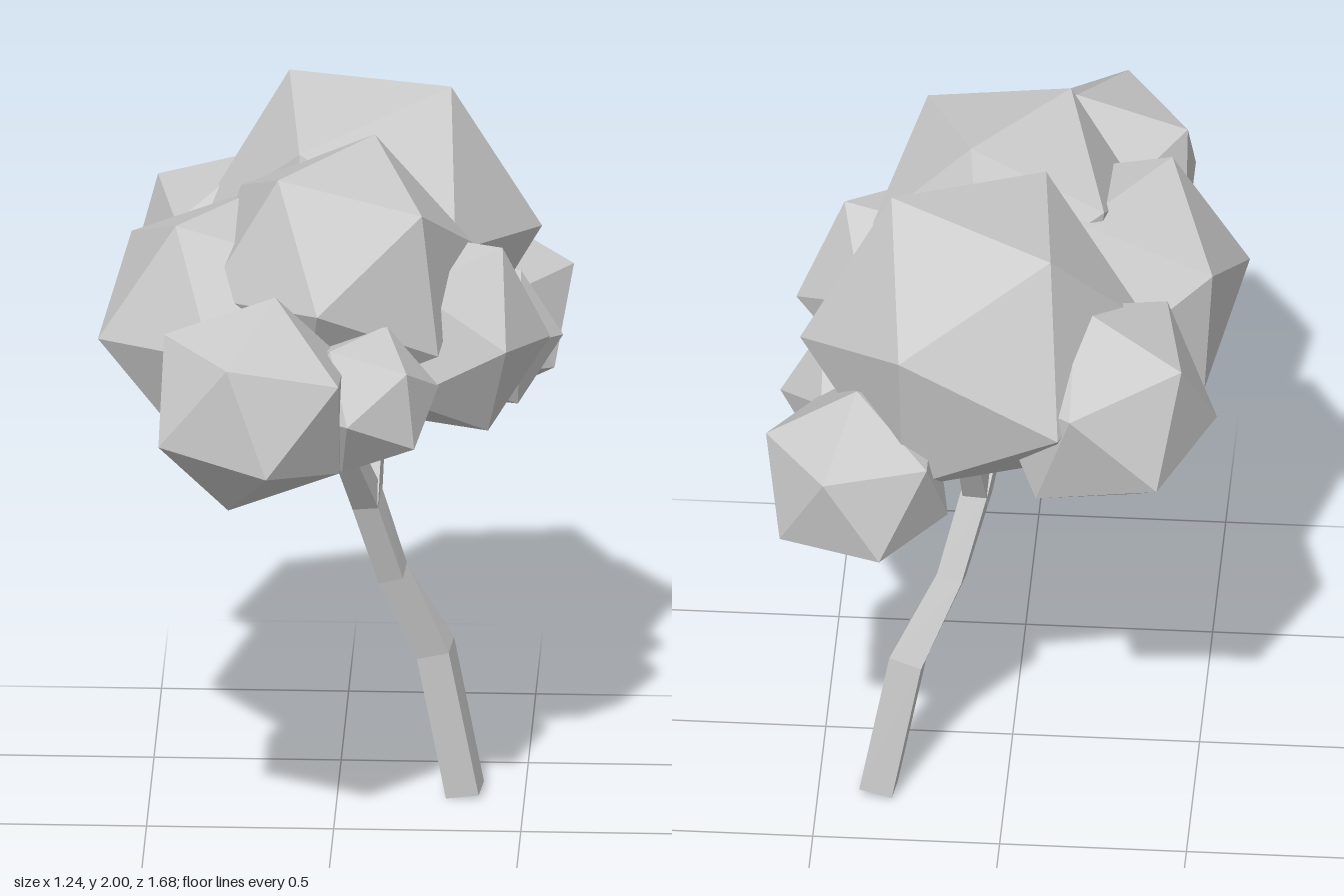
import * as THREE from 'three';

const V = (a) => new THREE.Vector3(...a);
const material = () => new THREE.MeshStandardMaterial({ color: 0xcccccc, flatShading: true });

// Rotation whose y axis is `top` and whose x axis leans towards `side`
function frame(top, side) {
  const y = top.clone().normalize();
  const x = side.clone().addScaledVector(y, -side.dot(y)).normalize();
  return new THREE.Matrix4().makeBasis(x, y, new THREE.Vector3().crossVectors(x, y));
}

// Icosahedron turned so that two neighbouring corners point at the given places
function foliage(name, center, radius, cornerA, cornerB) {
  const phi = (1 + Math.sqrt(5)) / 2;
  const source = frame(V([1, phi, 0]), V([-1, phi, 0])).transpose();
  const c = V(center);
  const geometry = new THREE.IcosahedronGeometry(radius, 0);
  geometry.applyMatrix4(frame(V(cornerA).sub(c), V(cornerB).sub(c)).multiply(source));
  geometry.computeVertexNormals();
  const mesh = new THREE.Mesh(geometry, material());
  mesh.name = name;
  mesh.position.copy(c);
  return mesh;
}

// Square-section limb through points [x, y, z, halfWidth]
function limb(name, path) {
  const points = path.map(([x, y, z]) => V([x, y, z]));
  const last = path.length - 1;
  const positions = [];
  const index = [];
  points.forEach((p, i) => {
    const t = points[Math.min(i + 1, last)].clone().sub(points[Math.max(i - 1, 0)]).normalize();
    const u = V([1, 0, 0.12]);
    u.addScaledVector(t, -u.dot(t)).normalize();
    const v = new THREE.Vector3().crossVectors(u, t);
    const h = path[i][3];
    for (const [a, b] of [[-1, -1], [1, -1], [1, 1], [-1, 1]]) {
      const q = p.clone().addScaledVector(u, a * h).addScaledVector(v, b * h);
      positions.push(q.x, Math.max(q.y, 0), q.z);
    }
    if (i === last) return;
    for (let k = 0; k < 4; k++) {
      const a = i * 4 + k, b = i * 4 + (k + 1) % 4;
      index.push(a, a + 4, b, b, a + 4, b + 4);
    }
  });
  const e = last * 4;
  index.push(0, 1, 2, 0, 2, 3, e, e + 2, e + 1, e, e + 3, e + 2);
  let geometry = new THREE.BufferGeometry();
  geometry.setAttribute('position', new THREE.Float32BufferAttribute(positions, 3));
  geometry.setIndex(index);
  geometry = geometry.toNonIndexed();
  geometry.computeVertexNormals();
  const mesh = new THREE.Mesh(geometry, material());
  mesh.material.side = THREE.DoubleSide;
  mesh.name = name;
  return mesh;
}

export function createModel() {
  const tree = new THREE.Group();
  tree.name = 'tree';

  // Crooked trunk that runs on into the front branch, and a back branch from the fork
  tree.add(
    limb('trunk', [
      [0.34, 0.01, -0.27, 0.045],
      [0.262, 0.425, -0.25, 0.045],
      [0.15, 0.66, -0.195, 0.035],
      [0.085, 0.9, -0.125, 0.036],
      [0.02, 1.15, 0.06, 0.028],
      [-0.02, 1.4, 0.18, 0.025],
    ]),
    limb('backBranch', [
      [0.085, 0.88, -0.115, 0.034],
      [0.095, 1.05, -0.22, 0.03],
      [0.11, 1.3, -0.41, 0.025],
    ]),
  );

  // Crown: name, centre, radius and two neighbouring corners of each clump
  const clumps = [
    ['topBackFoliage', [0.077, 1.593, -0.363], 0.466, [0.3, 2.0, -0.34], [-0.14, 1.96, -0.55]],
    ['topFrontFoliage', [0.02, 1.645, 0.108], 0.378, [-0.14, 1.96, 0.25], [0.255, 1.88, 0.3]],
    ['frontFoliage', [-0.196, 1.442, 0.57], 0.3, [-0.135, 1.73, 0.53], [-0.255, 1.62, 0.8]],
    ['rightFoliage', [-0.282, 1.481, 0.042], 0.368, [-0.415, 1.795, 0.18], [-0.545, 1.65, -0.15]],
    ['backRightFoliage', [-0.27, 1.45, -0.46], 0.32, [-0.49, 1.64, -0.585], [-0.435, 1.638, -0.26]],
    ['backLeftFoliage', [0.375, 1.275, -0.6], 0.272, [0.375, 1.547, -0.6], [0.618, 1.397, -0.6]],
    ['leftFoliage', [0.292, 1.452, 0.045], 0.293, [0.59, 1.42, -0.01], [0.44, 1.727, 0.06]],
    ['smallFrontFoliage', [0.1, 1.415, 0.455], 0.205, [0.062, 1.41, 0.655], [0.23, 1.54, 0.545]],
    ['smallLeftFoliage', [0.39, 1.32, -0.28], 0.212, [0.6, 1.315, -0.288], [0.48, 1.52, -0.265]],
  ];
  for (const clump of clumps) tree.add(foliage(...clump));

  return tree;
}
